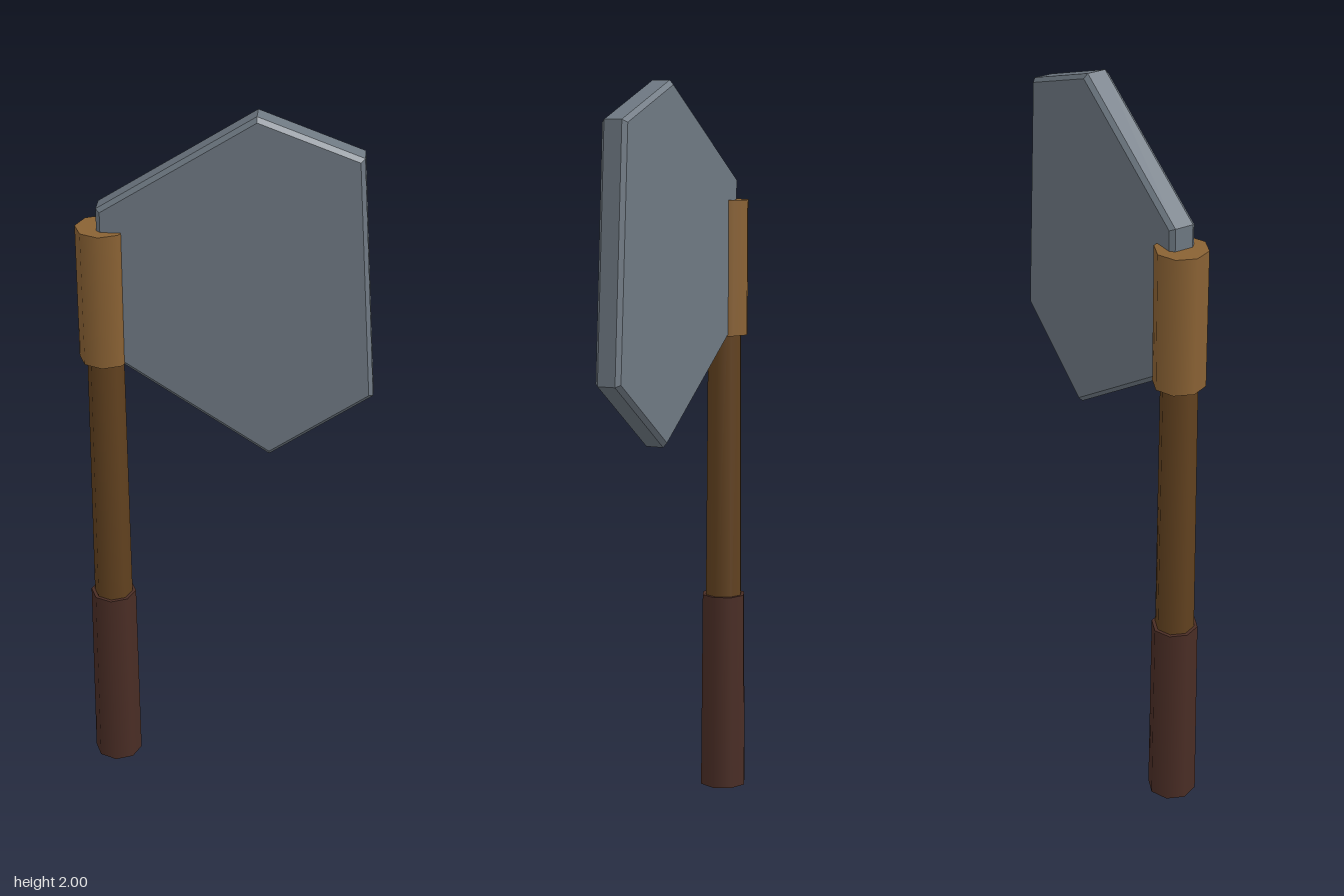
import * as THREE from 'three';

const material = (name, color) => {
  const m = new THREE.MeshStandardMaterial({ color });
  m.name = name;
  return m;
};

export function createModel() {
  const axe = new THREE.Group();
  axe.name = 'axe';
  const steel = material('steel', 0x6e7882);
  const lightWood = material('light wood', 0x8a6234);
  const wood = material('wood', 0x61411f);
  const leather = material('dark leather', 0x4a2d25);
  const shaftX = -0.32;

  // Eight-sided, smooth-shaded section of the shaft between two heights
  const shaftSection = (name, rTop, rBottom, y0, y1, mat) => {
    const geo = new THREE.CylinderGeometry(rTop, rBottom, y1 - y0, 8);
    const mesh = new THREE.Mesh(geo, mat);
    mesh.name = name;
    mesh.position.set(shaftX, (y0 + y1) / 2, 0);
    axe.add(mesh);
  };
  shaftSection('grip', 0.063, 0.067, 0, 0.56, leather);
  shaftSection('handle', 0.047, 0.055, 0.3, 1.6, wood);
  shaftSection('collar', 0.069, 0.069, 1.305, 1.68, lightWood);

  // Bevelled six-sided blade; the outline is its outer edge
  const outline = [
    [-0.33, 1.74], [-0.33, 1.34], [0.115, 1.045],
    [0.385, 1.235], [0.342, 1.9], [0.075, 2.0],
  ].map(([x, y]) => new THREE.Vector2(x, y));
  const bevel = 0.011;
  const bladeGeo = new THREE.ExtrudeGeometry(new THREE.Shape(outline), {
    depth: 0.05,
    bevelEnabled: true,
    bevelSegments: 1,
    bevelThickness: bevel,
    bevelSize: bevel,
    bevelOffset: -bevel,
  });
  bladeGeo.translate(0, 0, -0.025);
  const blade = new THREE.Mesh(bladeGeo, steel);
  blade.name = 'blade';
  axe.add(blade);

  return axe;
}
